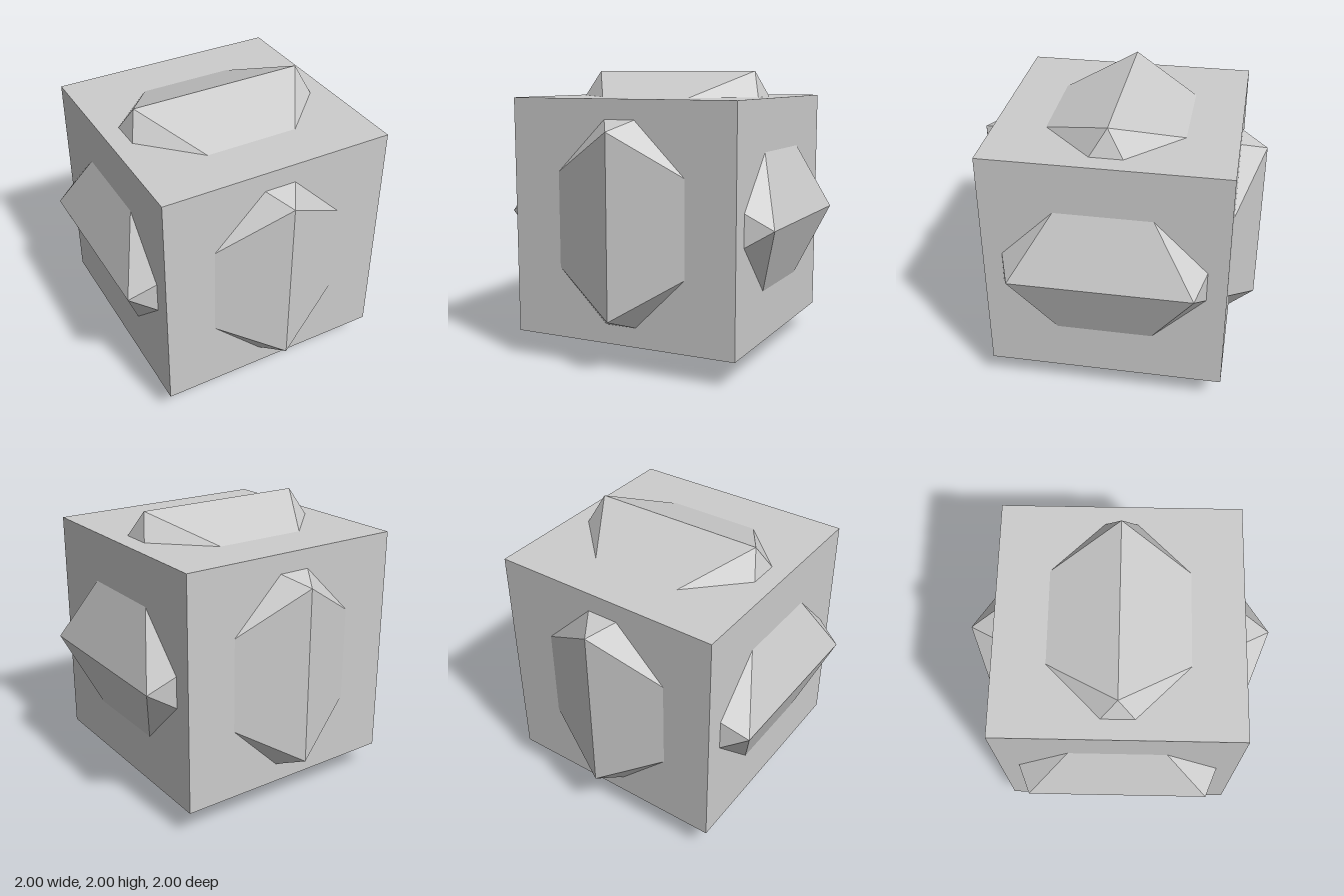
import * as THREE from 'three';

export function createModel() {
  const group = new THREE.Group();
  const material = new THREE.MeshStandardMaterial({ color: 0xcccccc, flatShading: true });

  const add = (name, geometry) => {
    const mesh = new THREE.Mesh(geometry, material);
    mesh.name = name;
    mesh.position.y = 1;
    group.add(mesh);
  };

  // Cube
  const side = 1.642;
  add('cube', new THREE.BoxGeometry(side, side, side));

  // Regular icosahedron piercing each cube face with one ridge;
  // opposite ridges lie 2 units apart
  const golden = (1 + Math.sqrt(5)) / 2;
  add('icosahedron', new THREE.IcosahedronGeometry(Math.hypot(1, 1 / golden), 0));

  return group;
}
